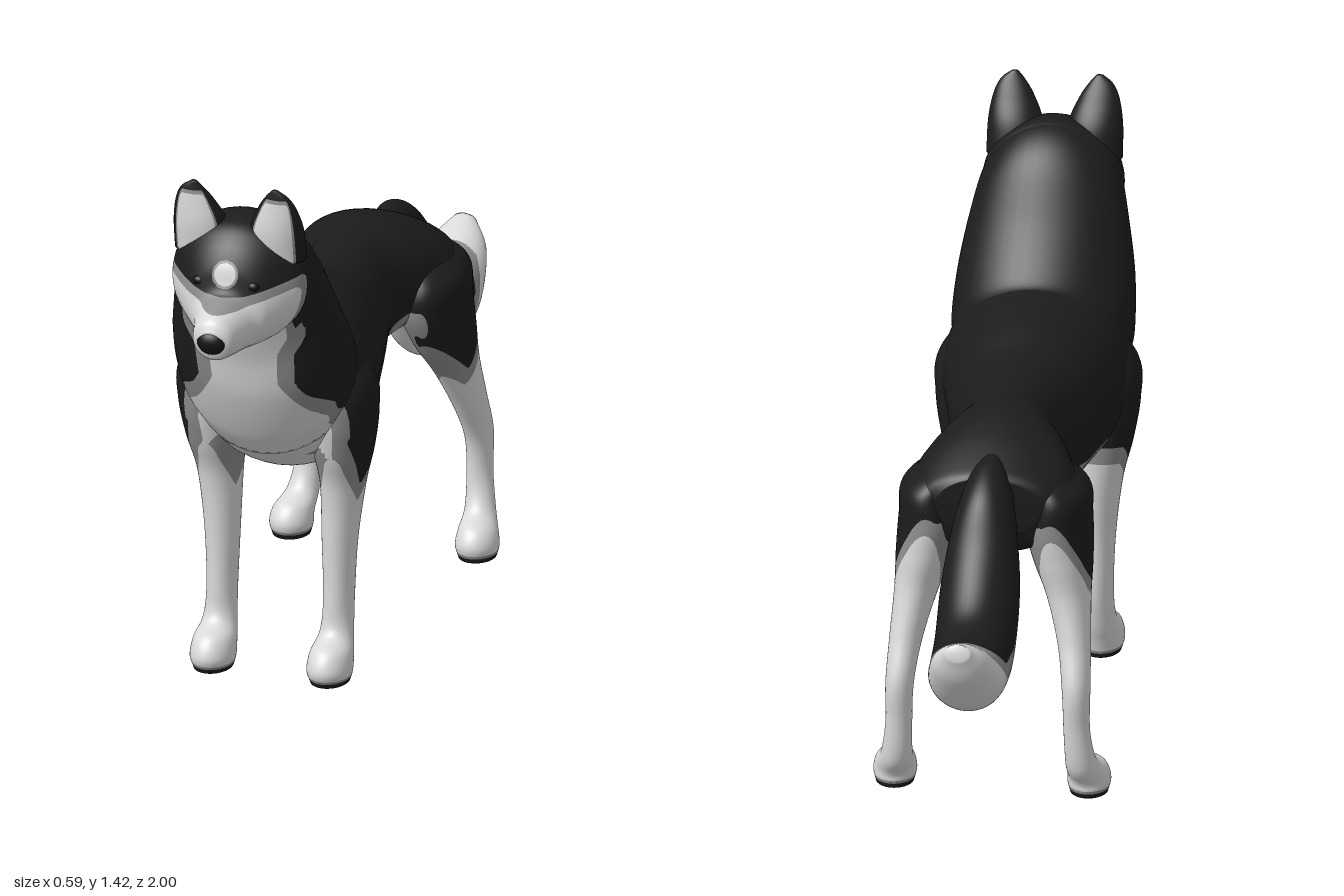
import * as THREE from 'three';

const mat = (name, color) => {
  const m = new THREE.MeshStandardMaterial({ color });
  m.name = name;
  return m;
};
const blackFur = mat('blackFur', 0x1c1c1c);
const greyFur = mat('greyFur', 0x8e8e8e);
const whiteFur = mat('whiteFur', 0xdadada);
const noseBlack = mat('noseBlack', 0x121212);
const FUR = [blackFur, greyFur, whiteFur];

// Straight-line lookup in a short table of [input, output]
function lookup(table, v) {
  if (v <= table[0][0]) return table[0][1];
  for (let i = 1; i < table.length; i++) {
    const [a, p] = table[i - 1], [b, q] = table[i];
    if (v <= b) return p + (q - p) * (v - a) / (b - a);
  }
  return table[table.length - 1][1];
}

// Keeps the side of a polygon whose last value is above (s = 1) or below (s = -1) a level
function cut(poly, level, s) {
  const out = [];
  poly.forEach((a, i) => {
    const b = poly[(i + 1) % poly.length], u = (a[6] - level) * s, v = (b[6] - level) * s;
    if (u >= 0) out.push(a);
    if (u * v < 0) out.push(a.map((q, k) => q + (b[k] - q) * u / (u - v)));
  });
  return out;
}

// Lofted part. Each ring is [zA, yA, zB, yB, halfWidth, x]: an ellipse whose
// one axis runs from A to B in the side plane and whose other axis is x.
// paint(x, y, z, cosAround, along) is above 0 for black, 0 to -1 for grey, below -1 for white;
// the faces are split along those borders so the coat pattern has clean edges.
function loft(name, rings, paint, mirror = 1) {
  const around = 44, steps = (rings.length - 1) * 9;
  const curve = f => new THREE.CatmullRomCurve3(rings.map(f), false, 'catmullrom', 0.5);
  const ca = curve(r => new THREE.Vector3(r[0], r[1], r[4]));
  const cb = curve(r => new THREE.Vector3(r[2], r[3], (r[5] || 0) * mirror));
  const pos = [], tone = [], index = [];
  const point = (x, y, z, cos, s) => {
    pos.push(x, y, z);
    return tone.push(paint(x, y, z, cos, s)) - 1;
  };
  for (let i = 0; i <= steps; i++) {
    const a = ca.getPoint(i / steps), b = cb.getPoint(i / steps);
    for (let j = 0; j < around; j++) {
      const t = j / around * Math.PI * 2, c = Math.cos(t), k = c / 2;
      point(b.z + a.z * Math.sin(t), (a.y + b.y) / 2 + (a.y - b.y) * k, (a.x + b.x) / 2 + (a.x - b.x) * k, c, i / steps);
    }
  }
  const cap = (r, s) => point((r[5] || 0) * mirror, (r[1] + r[3]) / 2, (r[0] + r[2]) / 2, 0, s);
  const first = cap(rings[0], 0), last = cap(rings[rings.length - 1], 1);
  for (let j = 0; j < around; j++) {
    const k = (j + 1) % around;
    index.push(first, j, k, last, steps * around + k, steps * around + j);
    for (let i = 0; i < steps; i++) {
      const o = i * around, p = o + around;
      index.push(o + j, p + j, o + k, o + k, p + j, p + k);
    }
  }
  const smooth = new THREE.BufferGeometry();
  smooth.setAttribute('position', new THREE.Float32BufferAttribute(pos, 3));
  smooth.setIndex(index);
  smooth.computeVertexNormals();
  const nor = smooth.attributes.normal.array;

  const groups = [[], [], []];
  for (let i = 0; i < index.length; i += 3) {
    const tri = index.slice(i, i + 3).map(n =>
      [...pos.slice(n * 3, n * 3 + 3), ...nor.slice(n * 3, n * 3 + 3), tone[n]]);
    const pieces = [cut(tri, 0, 1), cut(cut(tri, 0, -1), -1, 1), cut(tri, -1, -1)];
    pieces.forEach((p, g) => {
      for (let k = 2; k < p.length; k++) groups[g].push(p[0], p[k - 1], p[k]);
    });
  }
  const verts = groups.flat(), geo = new THREE.BufferGeometry();
  geo.setAttribute('position', new THREE.Float32BufferAttribute(verts.flatMap(v => v.slice(0, 3)), 3));
  geo.setAttribute('normal', new THREE.Float32BufferAttribute(verts.flatMap(v => v.slice(3, 6)), 3));
  let start = 0;
  groups.forEach((g, i) => {
    if (g.length) geo.addGroup(start, g.length, i);
    start += g.length;
  });
  const mesh = new THREE.Mesh(geo, FUR);
  mesh.name = name;
  return mesh;
}

// Coat pattern: lower edge of the black saddle, the white chest bib and the tail
const SADDLE = [[-.45, .75], [-.42, .67], [-.38, .59], [-.31, .52], [-.18, .625], [-.15, .72], [-.02, .69],
  [.19, .64], [.38, .6], [.46, .51], [.515, .6], [.58, .72], [.6, .785], [.715, .84], [.755, .96], [.78, 1.2]];
const BIB = [[.5, .2], [.68, .22], [.75, .21], [.8, .165], [.86, .125], [.95, .13], [1, .16]];
const TAIL = [[-.93, .9], [-.89, .62], [-.85, .575], [-.79, .51], [-.69, .51], [-.53, .6], [-.44, .72], [-.38, .7]];

function coat(x, y, z) {
  const d = y - lookup(SADDLE, z);
  return z > 0.54 && y < 1.05 ? Math.min(d, Math.abs(x) - lookup(BIB, y)) : d;
}
const paintNeck = (x, y, z) => coat(x, y, z) / 0.04;
const paintTorso = (x, y, z) => Math.min(coat(x, y, z), y - 0.64) / 0.04;
const paintLeg = (x, y, z) => {
  const inner = y < 0.72 ? Math.abs(x) - 0.14 : 1;
  const pad = (0.012 - y) * 6;
  return Math.max(Math.min(coat(x, y, z), inner), pad) / 0.045;
};
const paintTail = (x, y, z) => (y - lookup(TAIL, z)) / 0.045;
const paintHead = (x, y, z) => {
  const mask = 1.155 + 0.3 * Math.max(0, Math.abs(x) - 0.05);
  const d = Math.max(y - mask, 0.755 - z) / 0.025;
  const browSpot = (Math.hypot(x, y - 1.205) - 0.034) / 0.006;
  return z > 0.8 ? Math.min(d, browSpot) : d;
};
const paintEar = (x, y, z, cos, s) => Math.max(cos + 0.6, s - 0.72) * 12;

const TORSO = [
  [-.44, .85, -.435, .7, .13], [-.41, .87, -.4, .64, .19], [-.31, .915, -.3, .62, .21],
  [-.2, .945, -.18, .63, .17], [-.08, .945, -.06, .61, .13], [.115, .945, .12, .54, .165],
  [.25, .975, .26, .525, .2], [.43, 1.0, .43, .525, .235], [.55, 1.0, .54, .59, .215], [.62, .93, .66, .7, .13],
];
const NECK = [
  [.39, .99, .6, .62, .215], [.43, 1.015, .655, .69, .228], [.515, 1.12, .715, .81, .22],
  [.61, 1.26, .745, .92, .195], [.69, 1.315, .775, 1.0, .172], [.75, 1.31, .79, 1.04, .14],
];
const HEAD = [
  [.62, 1.25, .64, 1.06, .12], [.7, 1.318, .7, 1.0, .172], [.78, 1.313, .77, .99, .17],
  [.83, 1.28, .81, .99, .142], [.868, 1.225, .85, .995, .106], [.888, 1.165, .88, .998, .08],
  [.93, 1.142, .93, 1.005, .063], [.975, 1.122, .968, 1.015, .05], [.992, 1.095, .982, 1.04, .03],
];
const TAIL_RINGS = [
  [-.985, .64, -.998, .6, .03], [-.93, .62, -.965, .52, .07], [-.86, .592, -.875, .42, .09],
  [-.79, .59, -.77, .38, .098], [-.71, .625, -.64, .395, .1], [-.61, .73, -.535, .51, .098],
  [-.53, .84, -.455, .63, .08], [-.44, .89, -.4, .7, .06], [-.36, .89, -.34, .75, .035],
];
const EAR = [
  [.69, 1.22, .805, 1.22, .072, .098], [.715, 1.3, .815, 1.3, .068, .1], [.755, 1.36, .812, 1.36, .05, .107],
  [.78, 1.395, .808, 1.395, .03, .11], [.795, 1.416, .805, 1.414, .008, .106],
];
const FRONT_LEG = [
  [.52, .92, .4, .9, .04, .13], [.565, .8, .36, .79, .085, .165], [.565, .7, .345, .7, .087, .168],
  [.54, .6, .345, .6, .075, .165], [.505, .5, .355, .5, .056, .16], [.492, .35, .378, .35, .044, .153],
  [.49, .2, .39, .2, .038, .152], [.5, .12, .412, .1, .042, .152], [.56, .085, .43, .05, .053, .152],
  [.585, .04, .44, .02, .056, .152], [.572, 0, .445, 0, .048, .152],
];
const HIND_LEG = [
  [-.24, .86, -.38, .85, .03, .11], [-.16, .78, -.435, .79, .075, .155], [-.15, .7, -.445, .71, .085, .155],
  [-.2, .6, -.44, .62, .075, .17], [-.275, .5, -.435, .53, .055, .19], [-.35, .38, -.455, .42, .041, .21],
  [-.4, .28, -.49, .31, .035, .22], [-.41, .18, -.48, .2, .033, .222], [-.385, .11, -.465, .09, .039, .23],
  [-.325, .08, -.435, .04, .05, .24], [-.3, .04, -.43, .02, .054, .242], [-.31, 0, -.425, 0, .047, .242],
];

function ball(name, material, position, scale) {
  const mesh = new THREE.Mesh(new THREE.SphereGeometry(1, 24, 16), material);
  mesh.name = name;
  mesh.position.set(...position);
  mesh.scale.set(...scale);
  return mesh;
}

export function createModel() {
  const dog = new THREE.Group();
  dog.name = 'dog';
  dog.add(
    loft('torso', TORSO, paintTorso),
    loft('neck', NECK, paintNeck),
    loft('head', HEAD, paintHead),
    loft('tail', TAIL_RINGS, paintTail),
    ball('nose', noseBlack, [0, 1.066, 0.978], [0.037, 0.032, 0.023]),
  );
  // Paired parts, mirrored left and right
  for (const [side, s] of [['left', 1], ['right', -1]]) {
    dog.add(
      loft(side + 'FrontLeg', FRONT_LEG, paintLeg, s),
      loft(side + 'HindLeg', HIND_LEG, paintLeg, s),
      loft(side + 'Ear', EAR, paintEar, s),
      ball(side + 'Eye', noseBlack, [0.07 * s, 1.178, 0.862], [0.017, 0.013, 0.013]),
    );
  }
  return dog;
}
